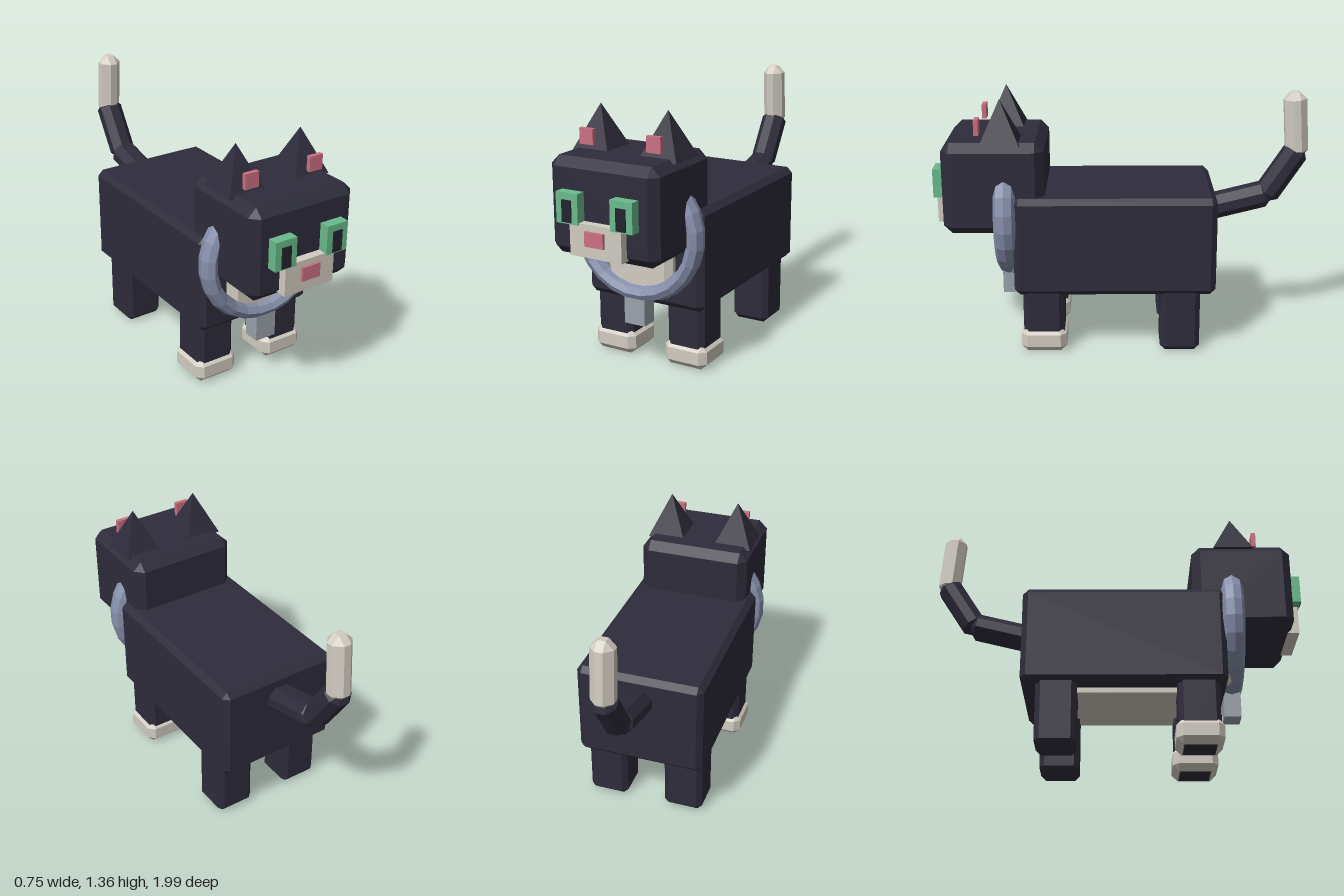
import * as THREE from 'three';
import { ConvexGeometry } from 'three/addons/geometries/ConvexGeometry.js';

function material(name, color) {
  const m = new THREE.MeshStandardMaterial({ color, flatShading: true });
  m.name = name;
  return m;
}

// Box with every edge cut by a single flat chamfer
function chamferBox(w, h, d, b) {
  const points = [];
  for (const x of [-1, 1]) for (const y of [-1, 1]) for (const z of [-1, 1]) {
    for (const cut of [[0, b, b], [b, 0, b], [b, b, 0]]) {
      points.push(new THREE.Vector3(x * (w / 2 - cut[0]), y * (h / 2 - cut[1]), z * (d / 2 - cut[2])));
    }
  }
  return new ConvexGeometry(points);
}

export function createModel() {
  const cat = new THREE.Group();
  cat.name = 'cat';

  const fur = material('dark fur', 0x2e2c3b);
  const cream = material('cream fur', 0xd3cdc2);
  const green = material('eye green', 0x69bb8c);
  const pink = material('pink', 0xcb7082);
  const black = material('pupil', 0x24232f);
  const blue = material('collar blue', 0x8790ac);
  const grey = material('tag grey', 0x9aa2aa);

  function add(name, geometry, mat, x = 0, y = 0, z = 0) {
    const mesh = new THREE.Mesh(geometry, mat);
    mesh.name = name;
    mesh.position.set(x, y, z);
    cat.add(mesh);
    return mesh;
  }

  // Block given by its extents, with an optional chamfer
  function block(name, mat, [x0, x1], [y0, y1], [z0, z1], bevel = 0) {
    const w = x1 - x0, h = y1 - y0, d = z1 - z0;
    const geometry = bevel ? chamferBox(w, h, d, bevel) : new THREE.BoxGeometry(w, h, d);
    return add(name, geometry, mat, (x0 + x1) / 2, (y0 + y1) / 2, (z0 + z1) / 2);
  }

  // Trunk
  block('body', fur, [-0.342, 0.342], [0.33, 0.862], [-0.49, 0.575], 0.03);
  block('belly', cream, [-0.24, 0.24], [0.302, 0.36], [-0.36, 0.44]);
  block('chest', cream, [-0.19, 0.19], [0.39, 0.76], [0.5, 0.63], 0.032);

  // Head and muzzle
  block('head', fur, [-0.305, 0.305], [0.658, 1.146], [0.41, 0.94], 0.045);
  block('muzzle', cream, [-0.146, 0.146], [0.685, 0.85], [0.92, 0.985]);
  block('nose', pink, [-0.053, 0.053], [0.745, 0.818], [0.97, 1.0]);

  // Collar ring, wider than it is thick, with a hanging tag
  const ring = new THREE.TorusGeometry(0.332, 0.044, 8, 24);
  ring.rotateZ(Math.PI / 24);
  ring.scale(1, 1, 1.32);
  add('collar', ring, blue, 0, 0.735, 0.617);
  block('collarTag', grey, [-0.06, 0.06], [0.24, 0.38], [0.572, 0.662]);

  // Paired parts
  for (const [side, s] of [['left', 1], ['right', -1]]) {
    const span = (a, b) => (s > 0 ? [a, b] : [-b, -a]);

    const earGeometry = new THREE.ConeGeometry(0.105 * Math.SQRT2, 0.23, 4);
    earGeometry.rotateY(Math.PI / 4);
    add(side + 'Ear', earGeometry, fur, s * 0.193, 1.245, 0.635);
    block(side + 'InnerEar', pink, span(0.152, 0.23), [1.176, 1.256], [0.745, 0.769]);

    block(side + 'Eye', green, span(0.091, 0.215), [0.84, 0.993], [0.935, 0.994]);
    block(side + 'Pupil', black, span(0.126, 0.18), [0.848, 0.958], [0.992, 1.0]);

    block(side + 'FrontLeg', fur, span(0.107, 0.321), [0, 0.37], [0.315, 0.533], 0.027);
    block(side + 'FrontPaw', cream, span(0.091, 0.337), [0.001, 0.135], [0.303, 0.547], 0.033);
    block(side + 'BackLeg', fur, span(0.107, 0.321), [0, 0.37], [-0.41, -0.198], 0.027);
  }

  // Tail: three chamfered links, each from one [y, z] point to another
  const links = [
    ['tailBase', fur, 0.15, 0.13, [0.71, -0.44], [0.8, -0.8]],
    ['tailMiddle', fur, 0.135, 0.13, [0.77, -0.765], [1.06, -0.952]],
    ['tailTip', cream, 0.12, 0.12, [1.0, -0.938], [1.357, -0.912]],
  ];
  for (const [name, mat, w, d, a, b] of links) {
    const dy = b[0] - a[0], dz = b[1] - a[1];
    const link = add(name, chamferBox(w, Math.hypot(dy, dz), d, 0.04), mat,
      0, (a[0] + b[0]) / 2, (a[1] + b[1]) / 2);
    link.rotation.x = Math.atan2(dz, dy);
  }

  return cat;
}
